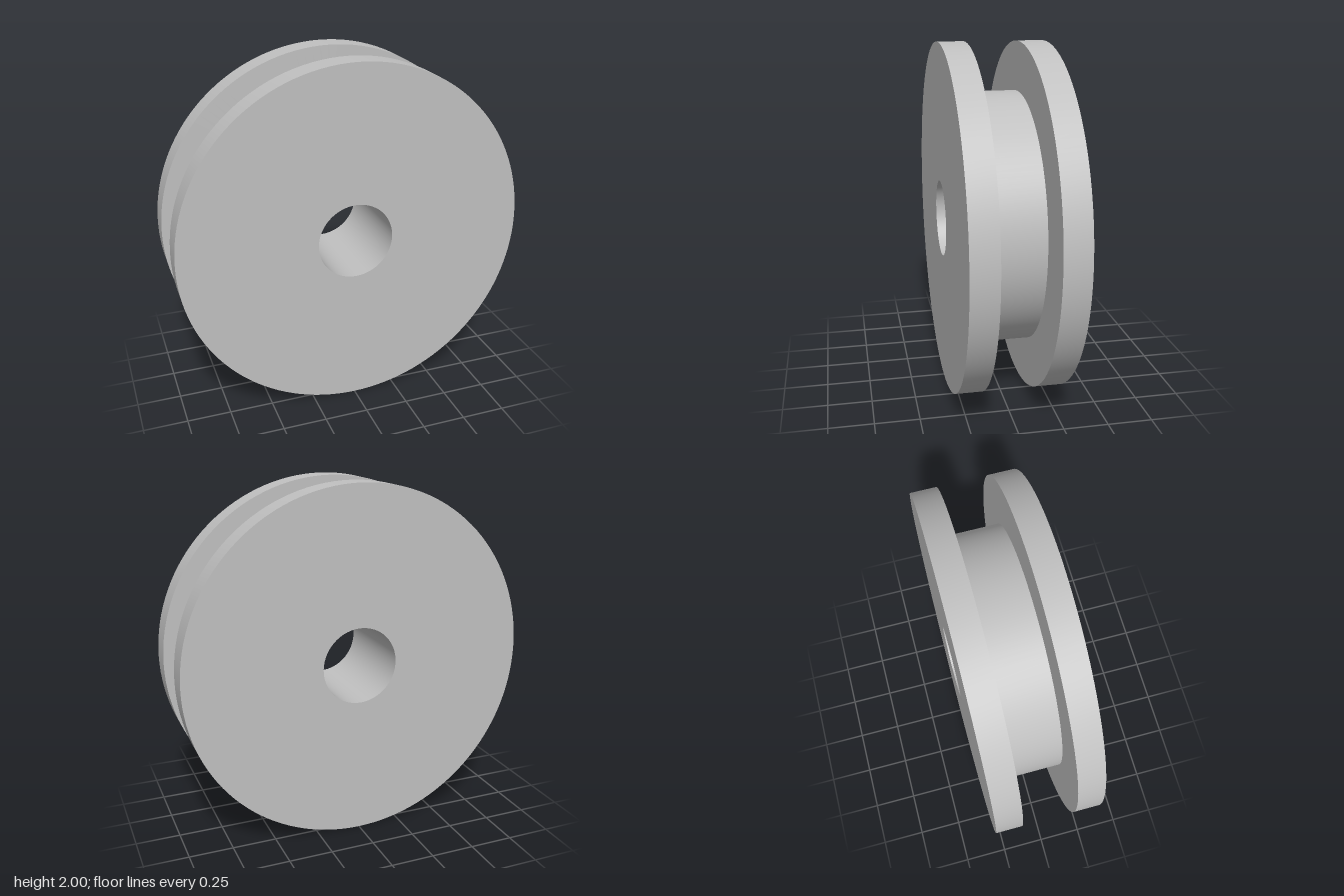
import * as THREE from 'three';
import { toCreasedNormals } from 'three/addons/utils/BufferGeometryUtils.js';

const RIM = 1, HUB = 0.722, BORE = 0.217; // radii
const INNER = 0.15, OUTER = 0.3;          // flange faces along the axle
const SEGMENTS = 128;

export function createModel() {
  const model = new THREE.Group();
  model.name = 'groovedWheel';
  const metal = new THREE.MeshStandardMaterial({ color: 0xc0c0c0 });
  metal.name = 'light grey';

  // Revolves a [radius, z] profile around the z axis, keeping corners sharp
  const turned = (name, profile) => {
    const points = profile.map(([r, z]) => new THREE.Vector2(r, z));
    const geometry = toCreasedNormals(new THREE.LatheGeometry(points, SEGMENTS), 0.5);
    geometry.rotateX(Math.PI / 2);
    const mesh = new THREE.Mesh(geometry, metal);
    mesh.name = name;
    mesh.position.y = RIM;
    model.add(mesh);
    return mesh;
  };

  // Two matching flanges, the back one turned around
  const flange = [[HUB, INNER], [RIM, INNER], [RIM, OUTER], [BORE, OUTER]];
  turned('frontFlange', flange);
  turned('backFlange', flange).rotation.x = Math.PI;

  // Groove floor between the flanges, and the axle hole right through
  turned('hub', [[HUB, -INNER], [HUB, INNER]]);
  turned('axleBore', [[BORE, OUTER], [BORE, -OUTER]]);

  return model;
}
